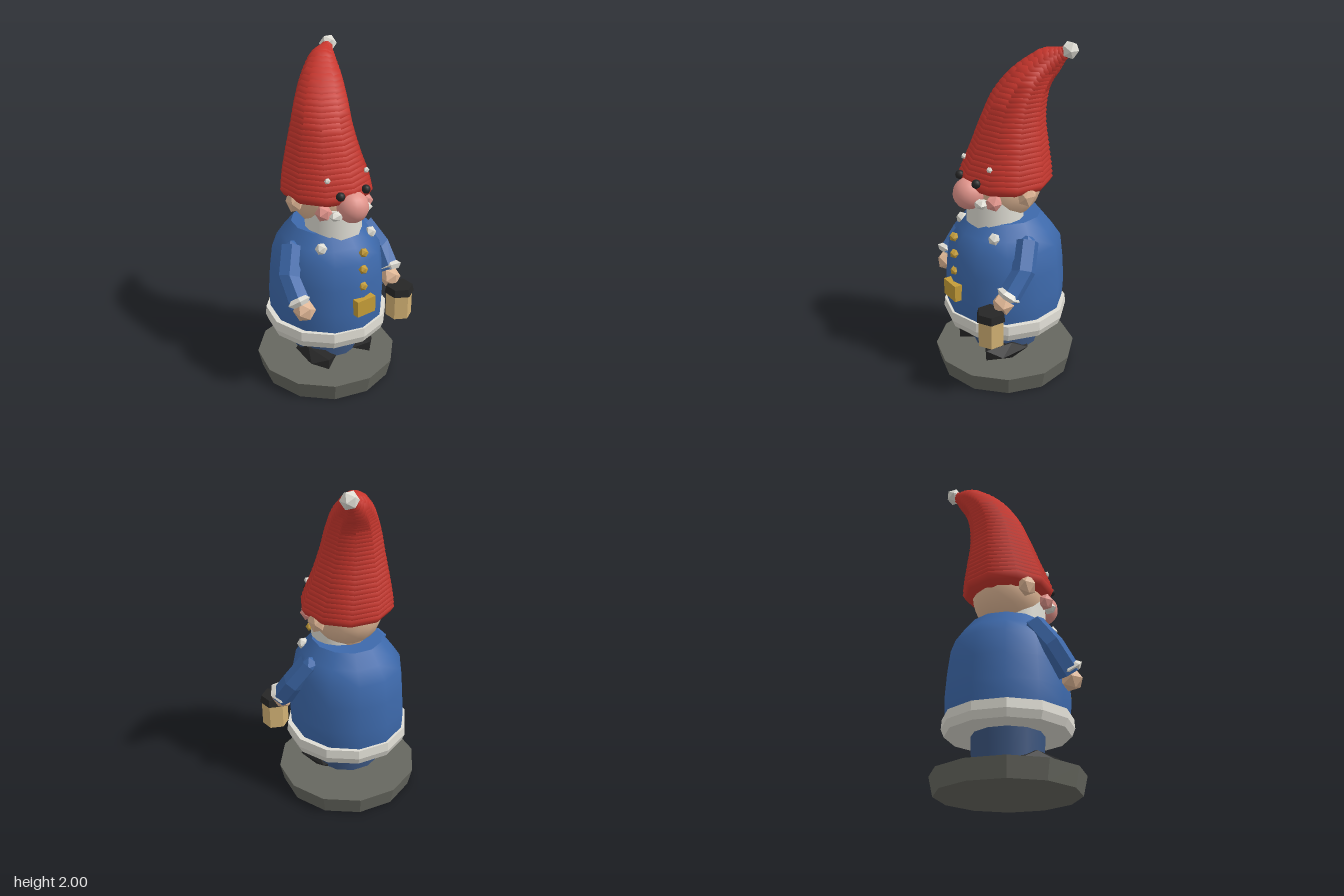
import * as THREE from 'three';

function material(name, color, flat = false) {
  const m = new THREE.MeshStandardMaterial({ color });
  m.name = name;
  m.flatShading = flat;
  return m;
}

export function createModel() {
  const group = new THREE.Group();
  const red = material('hat red', 0xc8362d);
  const blue = material('coat blue', 0x3d69ab);
  const navy = material('trouser blue', 0x3b557f);
  const stone = material('stone grey', 0x66675f);
  const black = material('black', 0x262626);
  const white = material('fur white', 0xdedcd3);
  const skin = material('skin', 0xe0b796);
  const pink = material('nose pink', 0xe0938a);
  const gold = material('gold', 0xc49c38);
  const tan = material('lantern glow', 0xd2b174);

  // Low-poly parts are faceted by unsharing vertices, so each colour stays one material
  const facet = (geo) => {
    const g = geo.index ? geo.toNonIndexed() : geo;
    g.computeVertexNormals();
    return g;
  };
  const add = (name, geo, mat, x = 0, y = 0, z = 0, parent = group) => {
    const mesh = new THREE.Mesh(geo, mat);
    mesh.name = name;
    mesh.position.set(x, y, z);
    parent.add(mesh);
    return mesh;
  };
  const gem = (name, mat, x, y, z, rx, ry = rx, rz = rx) =>
    add(name, facet(new THREE.IcosahedronGeometry(1, 0).scale(rx, ry, rz)), mat, x, y, z);
  const lathe = (pts, n) => new THREE.LatheGeometry(pts.map((p) => new THREE.Vector2(...p)), n);

  // Stand, trousers and shoes
  add('base', facet(new THREE.CylinderGeometry(0.43, 0.405, 0.11, 12)), stone, 0, 0.055, 0);
  add('trousers', new THREE.CylinderGeometry(0.21, 0.2, 0.24, 12), navy, 0, 0.28, 0);
  for (const s of [-1, 1]) {
    const shoe = gem('shoe', black, s * 0.14, 0.165, 0.08, 0.1, 0.062, 0.185);
    shoe.rotation.y = s * 0.12;
  }

  // Coat with fur hem
  const coat = add('coat', lathe([[0.35, 0.38], [0.358, 0.46], [0.362, 0.55], [0.352, 0.7],
    [0.335, 0.84], [0.28, 0.92], [0.215, 1.0]], 12), blue);
  coat.scale.x = 0.95;
  add('coatTop', new THREE.CircleGeometry(0.215, 12).rotateX(-Math.PI / 2).rotateY(Math.PI / 2),
    blue, 0, 1.0, 0).scale.x = 0.95;
  add('hem', facet(lathe([[0, 0.33], [0.355, 0.33], [0.373, 0.375], [0.369, 0.43], [0.33, 0.43]], 12)), white);

  // Arms, cuffs and hands
  for (const s of [-1, 1]) {
    const path = new THREE.CurvePath();
    const shoulder = new THREE.Vector3(s * 0.26, 0.91, 0.02);
    const elbow = new THREE.Vector3(s * 0.35, 0.74, 0.11);
    const wrist = new THREE.Vector3(s * 0.335, 0.63, 0.2);
    path.add(new THREE.LineCurve3(shoulder, elbow));
    path.add(new THREE.LineCurve3(elbow, wrist));
    add('sleeve', facet(new THREE.TubeGeometry(path, 2, 0.068, 6)), blue);
    const shoulderCap = gem('shoulder', blue, s * 0.255, 0.885, 0.02, 0.065);
    shoulderCap.rotation.z = s * 0.3;
    const cuff = add('cuff', facet(new THREE.TorusGeometry(0.05, 0.024, 4, 6)), white,
      s * 0.345, 0.655, 0.2);
    cuff.lookAt(s * 0.335, 0.55, 0.28);
    gem('hand', skin, s * 0.322, 0.6, 0.22, 0.066);
  }

  // Lantern
  add('lanternRoof', facet(new THREE.CylinderGeometry(0.08, 0.09, 0.045, 6)), black, 0.325, 0.557, 0.305);
  add('lanternBody', facet(new THREE.CylinderGeometry(0.08, 0.08, 0.155, 6)), tan, 0.325, 0.457, 0.305);

  // Buckle and buttons
  add('buckle', new THREE.BoxGeometry(0.13, 0.1, 0.05), gold, 0, 0.585, 0.36);
  for (const y of [0.92, 0.813, 0.705]) gem('button', gold, 0, y, 0.347, 0.028);

  // Head, beard and face
  add('head', new THREE.SphereGeometry(0.21, 16, 12), skin, 0, 1.185, 0);
  add('neck', new THREE.CylinderGeometry(0.14, 0.1, 0.1, 12), skin, 0, 1.02, 0);
  add('beard', new THREE.CylinderGeometry(0.165, 0.17, 0.24, 16), white, 0, 1.02, 0.068);
  add('nose', new THREE.SphereGeometry(0.092, 16, 12), pink, 0, 1.165, 0.243);
  for (const s of [-1, 1]) {
    gem('ear', skin, s * 0.225, 1.175, 0, 0.045, 0.072, 0.062);
    gem('cheek', pink, s * 0.148, 1.14, 0.17, 0.05);
    gem('moustache', white, s * 0.1, 1.13, 0.23, 0.05, 0.03, 0.035);
    gem('beardCurl', white, s * 0.18, 0.935, 0.19, 0.036);
    add('eye', new THREE.SphereGeometry(0.026, 10, 8), black, s * 0.09, 1.25, 0.248);
    gem('eyebrow', white, s * 0.137, 1.335, 0.19, 0.018);
  }

  // Bent hat made of overlapping flattened rings along a curve
  const spine = new THREE.CatmullRomCurve3([
    [0, 1.225, 0], [0, 1.4, -0.03], [0.005, 1.55, -0.05], [0.025, 1.69, -0.08],
    [0.06, 1.79, -0.125], [0.12, 1.875, -0.195], [0.2, 1.94, -0.255],
  ].map((p) => new THREE.Vector3(...p)));
  const radii = new THREE.SplineCurve(
    [0.275, 0.23, 0.19, 0.16, 0.13, 0.085, 0.035].map((r, i) => new THREE.Vector2(i, r)));
  const hat = new THREE.Group();
  hat.name = 'hat';
  group.add(hat);
  const rings = 30;
  for (let i = 0; i <= rings; i++) {
    const t = spine.getUtoTmapping(i / rings);
    const p = spine.getPoint(t);
    const r = radii.getPoint(t).y;
    const ring = new THREE.SphereGeometry(r, 10, 8).rotateY(Math.PI / 2);
    ring.scale(1, Math.min(1, 0.09 / r), 1);
    add('hatRing', ring, red, p.x, p.y, p.z, hat);
  }
  gem('pompom', white, 0.22, 1.952, -0.272, 0.052);

  return group;
}
